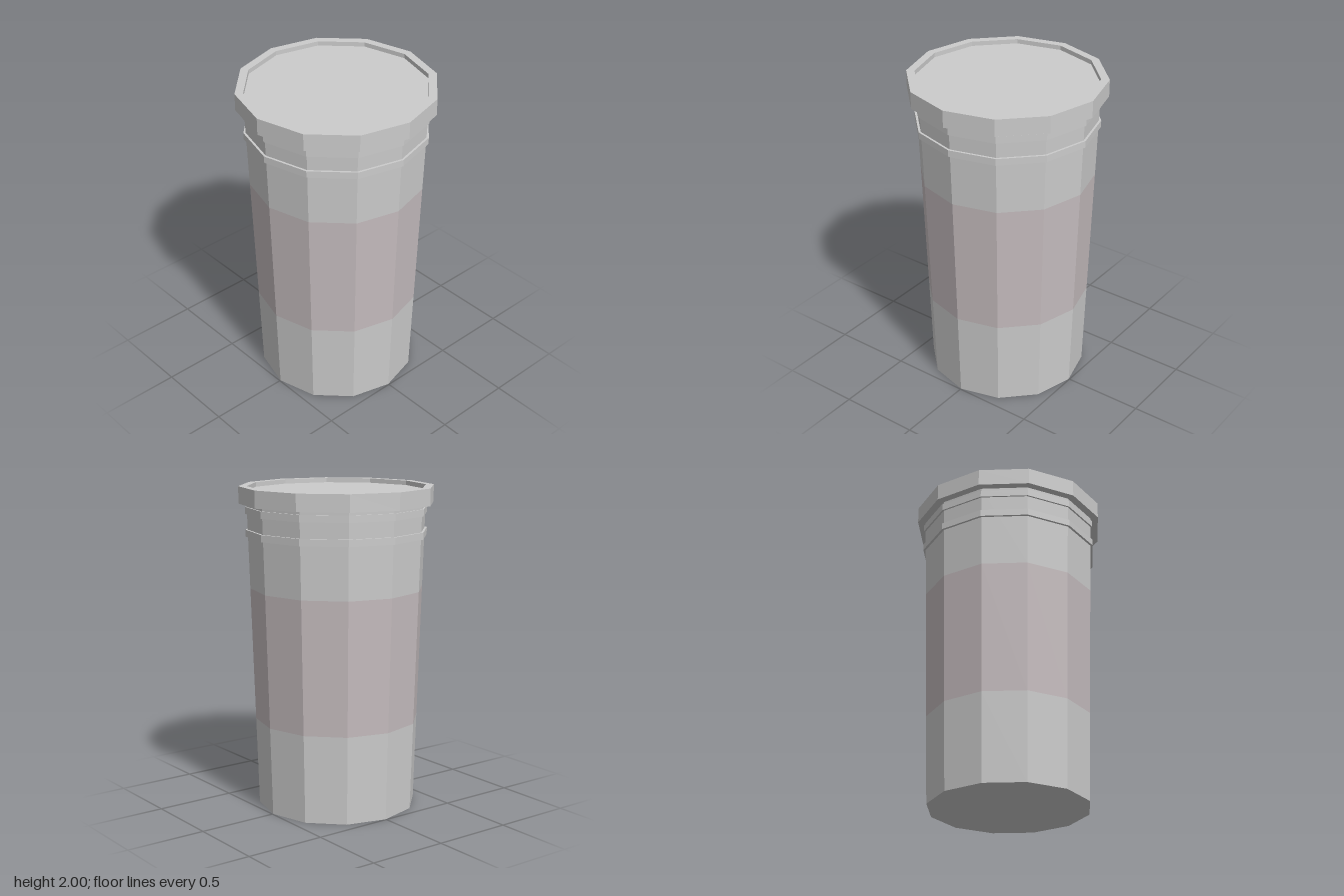
import * as THREE from 'three';

const SIDES = 12;
const grey = new THREE.MeshStandardMaterial({ color: 0xcccccc, flatShading: true });
const tinted = new THREE.MeshStandardMaterial({ color: 0xc5bcbe, flatShading: true });

// Radius of the gently tapering wall at height y
const wall = (y) => 0.494 + 0.03 * y;

// Faceted turned part from a [radius, height] profile
function turned(name, profile, material = grey) {
  const points = profile.map(([r, y]) => new THREE.Vector2(r, y));
  const geometry = new THREE.LatheGeometry(points, SIDES).toNonIndexed();
  geometry.computeVertexNormals();
  const mesh = new THREE.Mesh(geometry, material);
  mesh.name = name;
  return mesh;
}

export function createModel() {
  const model = new THREE.Group();
  model.name = 'lidded cup';
  const bandBottom = 0.55, bandTop = 1.375, lidBottom = 1.895;

  // Cup wall in three flush sections, the middle one tinted
  model.add(
    turned('cupBase', [[0, 0], [wall(0), 0], [wall(bandBottom), bandBottom]]),
    turned('labelBand', [[wall(bandBottom), bandBottom], [wall(bandTop), bandTop]], tinted),
    turned('cupNeck', [[wall(bandTop), bandTop], [wall(lidBottom), lidBottom]])
  );

  // Two raised ribs below the lid
  for (const [name, y0, y1] of [['lowerRib', 1.695, 1.737], ['upperRib', 1.833, 1.875]]) {
    model.add(turned(name, [[0.54, y0], [0.56, y0], [0.56, y1], [0.54, y1]]));
  }

  // Lid with a shallow recess inside its rim
  model.add(turned('lid', [
    [0, lidBottom], [0.6, lidBottom], [0.6, 2], [0.55, 2], [0.55, 1.972], [0, 1.972],
  ]));

  return model;
}
